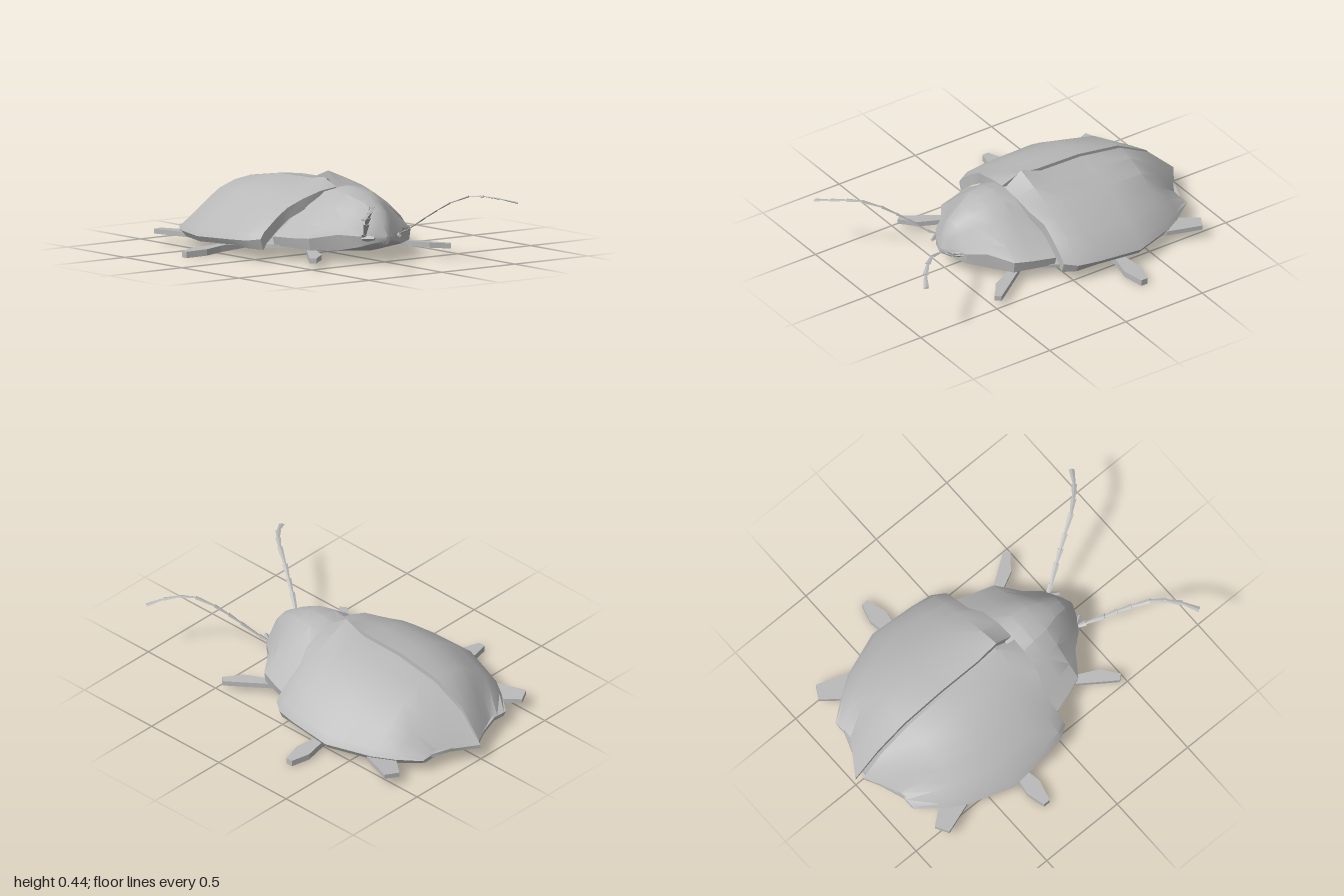
import * as THREE from 'three';
import { toCreasedNormals } from 'three/addons/utils/BufferGeometryUtils.js';

const shellGrey = new THREE.MeshStandardMaterial({ color: 0xb9b9b9, side: THREE.DoubleSide });
shellGrey.name = 'shellGrey';

// Skin closed rings of points, ordered front (+z) to back, and cap both ends
function loft(name, rings, crease = 0.45) {
  const n = rings[0].length, index = [];
  const quad = (a, b, c, d) => index.push(a, b, c, a, c, d);
  for (let r = 0; r < rings.length - 1; r++)
    for (let i = 0; i < n; i++) {
      const j = (i + 1) % n;
      quad(r * n + i, r * n + j, (r + 1) * n + j, (r + 1) * n + i);
    }
  const last = (rings.length - 1) * n;
  for (let i = 0; i < n / 2 - 1; i++) {
    quad(n - 1 - i, n - 2 - i, i + 1, i);
    quad(last + i, last + i + 1, last + n - 2 - i, last + n - 1 - i);
  }
  const g = new THREE.BufferGeometry();
  g.setAttribute('position', new THREE.Float32BufferAttribute(rings.flat(2), 3));
  g.setIndex(index);
  const mesh = new THREE.Mesh(toCreasedNormals(g, crease), shellGrey);
  mesh.name = name;
  return mesh;
}

// One curved wing case; side is +1 (left) or -1 (right)
function wingCase(side) {
  const inner = side > 0 ? 0.003 : 0.022;
  const peak = side > 0 ? 0.445 : 0.41;
  const tail = side > 0 ? -1 : -0.965;
  const widen = side > 0 ? 0 : 0.014;
  const ts = [0, 0.22, 0.45, 0.62, 0.78, 0.95, 1];
  const domed = [1, 0.95, 0.81, 0.62, 0.41, 0.14, 0];
  const peaked = [1, 0.86, 0.7, 0.54, 0.37, 0.13, 0];
  // z at centre, sweep of outer edge, half width, ridge height, rim height, thickness, profile
  const sections = [
    [0.105, -0.05, 0.49, 0.37, 0.12, 0.06, domed],
    [0.0, -0.01, 0.535, peak, 0.11, 0.045, peaked],
    [-0.13, 0, 0.555, 0.395, 0.105, 0.03, domed],
    [-0.39, 0, 0.575, 0.39, 0.095, 0.03, domed],
    [-0.65, 0.01, 0.485, 0.35, 0.09, 0.03, domed],
    [-0.84, 0.09, 0.415, 0.25, 0.085, 0.03, domed],
    [tail, -0.87 - tail, 0.32, 0.095, 0.085, 0.02, domed],
  ];
  const rings = sections.map(([z, sweep, w, ridge, rim, thick, hs]) => {
    const top = ts.map((t, i) => [
      side * (inner + (w + widen - inner) * t), rim + (ridge - rim) * hs[i],
      z + sweep * Math.min(1, t / 0.62) ** (z > 0 ? 4 : 1)]);
    const under = top.map(([x, y, zz], i) =>
      [x - side * 0.02 * ts[i], y - thick, zz]).reverse();
    const ring = [...top, ...under];
    return side > 0 ? ring : ring.reverse();
  });
  return loft(side > 0 ? 'leftWingCase' : 'rightWingCase', rings);
}

// Domed front shield with a raised flat rim
function frontShield() {
  // z, half width, ridge, rim top, rim bottom
  const sections = [
    [0.53, 0.012, 0.15, 0.14, 0.125],
    [0.5, 0.08, 0.22, 0.14, 0.11],
    [0.455, 0.15, 0.28, 0.15, 0.09],
    [0.37, 0.22, 0.335, 0.155, 0.07],
    [0.28, 0.35, 0.37, 0.135, 0.07],
    [0.18, 0.385, 0.385, 0.13, 0.075],
    [0.06, 0.425, 0.36, 0.13, 0.08],
  ];
  const half = [[0.25, 0.93], [0.5, 0.66], [0.78, 0.26], [1, 0]];
  const profile = [...half.map(([t, h]) => [-t, h]).reverse(), [0, 1], ...half];
  return loft('frontShield', sections.map(([z, w, ridge, rim, low]) => [
    ...profile.map(([t, h]) => [t * w, rim + (ridge - rim) * h, z]),
    ...profile.map(([t]) => [t * w * 0.97, low - 0.02 * (1 - Math.abs(t)), z]).reverse(),
  ]));
}

// Shallow belly with a slight keel
function belly() {
  // z, half width, keel height, edge height
  const sections = [
    [0.47, 0.07, 0.09, 0.1], [0.3, 0.27, 0.05, 0.075], [0.05, 0.43, 0.035, 0.065],
    [-0.28, 0.53, 0.012, 0.06], [-0.5, 0.51, 0.035, 0.06],
    [-0.72, 0.4, 0.055, 0.065], [-0.87, 0.25, 0.065, 0.075], [-0.94, 0.06, 0.075, 0.08],
  ];
  const ts = [-1, -0.5, 0, 0.5, 1];
  return loft('belly', sections.map(([z, w, keel, edge]) => [
    ...ts.map(t => [t * w, edge + 0.02, z]),
    ...ts.map(t => [t * w, keel + (edge - keel) * Math.abs(t), z]).reverse(),
  ]), 0.8);
}

// Flat leg cut from an outline in x,z; its height runs from yIn to yOut along x
function leg(name, outline, yIn, yOut, thickness) {
  const g = new THREE.ExtrudeGeometry(
    new THREE.Shape(outline.map(([x, z]) => new THREE.Vector2(x, z))),
    { depth: thickness, bevelEnabled: false });
  g.rotateX(Math.PI / 2);
  const p = g.attributes.position;
  const xs = outline.map(o => o[0]), x0 = Math.min(...xs), x1 = Math.max(...xs);
  for (let i = 0; i < p.count; i++)
    p.setY(i, p.getY(i) + yIn + (yOut - yIn) * (p.getX(i) - x0) / (x1 - x0));
  g.computeVertexNormals();
  const mesh = new THREE.Mesh(g, shellGrey);
  mesh.name = name;
  return mesh;
}

// Tapered four-sided rod between two points; flat squashes it vertically
function rod(name, a, b, r0, r1, flat) {
  const g = new THREE.CylinderGeometry(r1, r0, a.distanceTo(b), 4);
  g.rotateX(Math.PI / 2).scale(1, flat, 1);
  const mesh = new THREE.Mesh(toCreasedNormals(g, 0.5), shellGrey);
  mesh.position.copy(a).lerp(b, 0.5);
  mesh.lookAt(b);
  mesh.name = name;
  return mesh;
}

// Jointed feeler: each flat segment widens toward its far end
function antenna() {
  const group = new THREE.Group();
  group.name = 'antenna';
  const pts = [[0.12, 0.14, 0.46], [0.145, 0.165, 0.51], [0.2, 0.235, 0.595], [0.235, 0.28, 0.655],
    [0.275, 0.325, 0.72], [0.33, 0.365, 0.81], [0.385, 0.368, 0.875], [0.45, 0.355, 0.935], [0.53, 0.332, 0.985]]
    .map(p => new THREE.Vector3(...p));
  for (let i = 0; i < pts.length - 1; i++)
    group.add(rod('antennaSegment', pts[i], pts[i + 1], 0.008, 0.016, 0.3));
  return group;
}

// Limbs of one side
function limbs(name) {
  const group = new THREE.Group();
  group.name = name;
  group.add(
    leg('frontLeg', [[0.2, 0.17], [0.26, 0.14], [0.345, 0.26], [0.43, 0.38], [0.485, 0.46],
      [0.46, 0.49], [0.425, 0.46], [0.37, 0.42], [0.305, 0.29]], 0.075, 0.06, 0.028),
    leg('middleLeg', [[0.3, -0.32], [0.53, -0.32], [0.65, -0.34], [0.755, -0.31], [0.755, -0.27],
      [0.64, -0.24], [0.53, -0.26], [0.3, -0.26]], 0.066, 0.038, 0.035),
    leg('rearLeg', [[0.25, -0.42], [0.33, -0.38], [0.49, -0.62], [0.555, -0.81], [0.48, -0.85],
      [0.4, -0.75]], 0.068, 0.085, 0.026),
    antenna(),
    rod('mandible', new THREE.Vector3(0.12, 0.135, 0.46), new THREE.Vector3(0.085, 0.14, 0.52), 0.02, 0.01, 1),
  );
  return group;
}

export function createModel() {
  const model = new THREE.Group();
  model.name = 'beetle';
  const left = limbs('leftLimbs'), right = limbs('rightLimbs');
  right.scale.x = -1;
  model.add(wingCase(1), wingCase(-1), frontShield(), belly(), left, right);
  return model;
}
